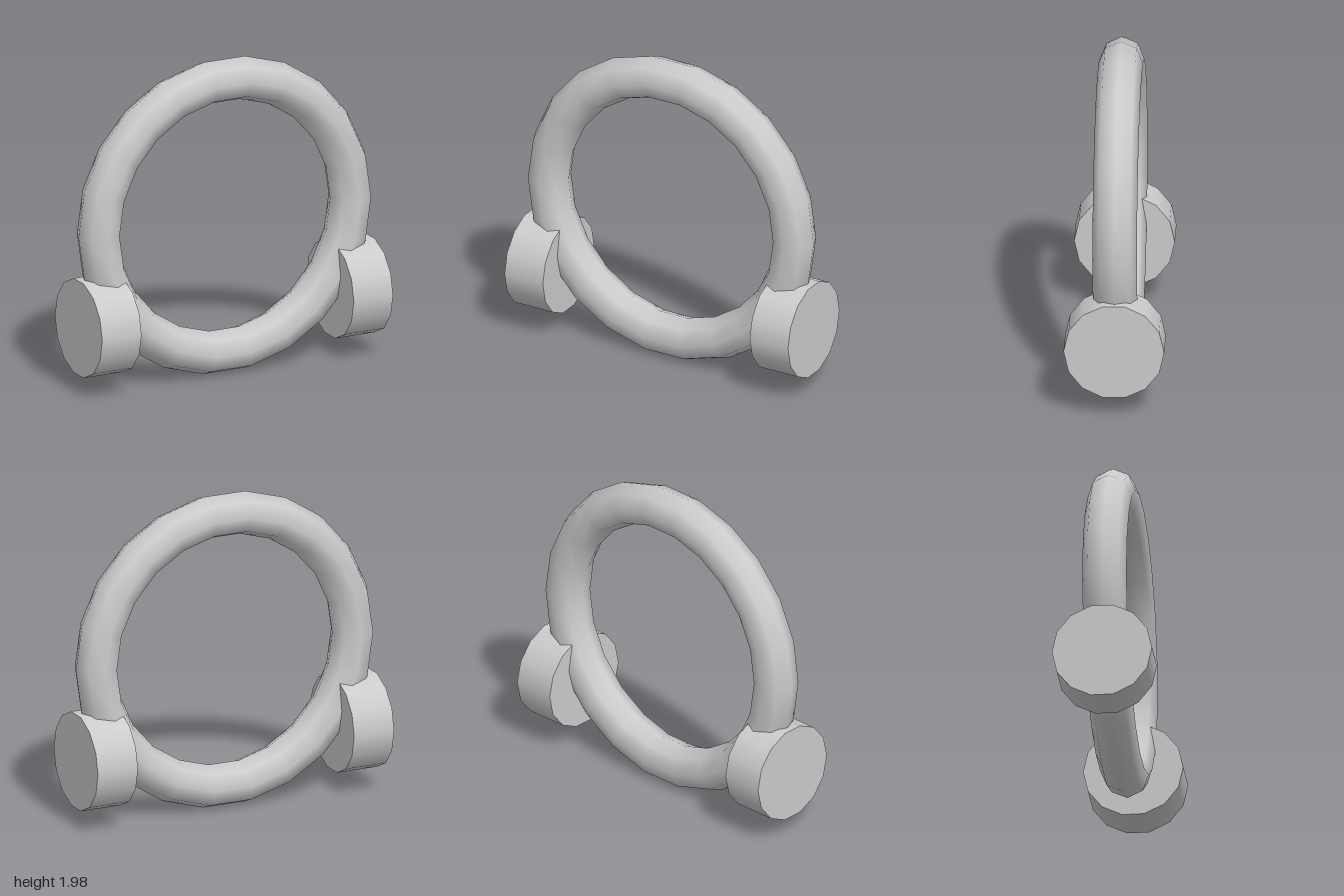
import * as THREE from 'three';

export function createModel() {
  const model = new THREE.Group();
  const material = new THREE.MeshStandardMaterial({ color: 0xcccccc });
  const ringRadius = 0.865, tubeRadius = 0.135;

  // upright ring
  const ring = new THREE.Mesh(new THREE.TorusGeometry(ringRadius, tubeRadius, 8, 22), material);
  ring.name = 'ring';
  ring.position.y = 0.99;
  model.add(ring);

  // drum on each side of the ring, its axis along x
  const drumGeometry = new THREE.CylinderGeometry(0.306, 0.306, tubeRadius * 2, 14);
  drumGeometry.rotateZ(Math.PI / 2);
  for (const [name, side] of [['leftDrum', 1], ['rightDrum', -1]]) {
    const drum = new THREE.Mesh(drumGeometry, material);
    drum.name = name;
    drum.position.set(side * ringRadius, 0.416, 0);
    model.add(drum);
  }
  return model;
}
